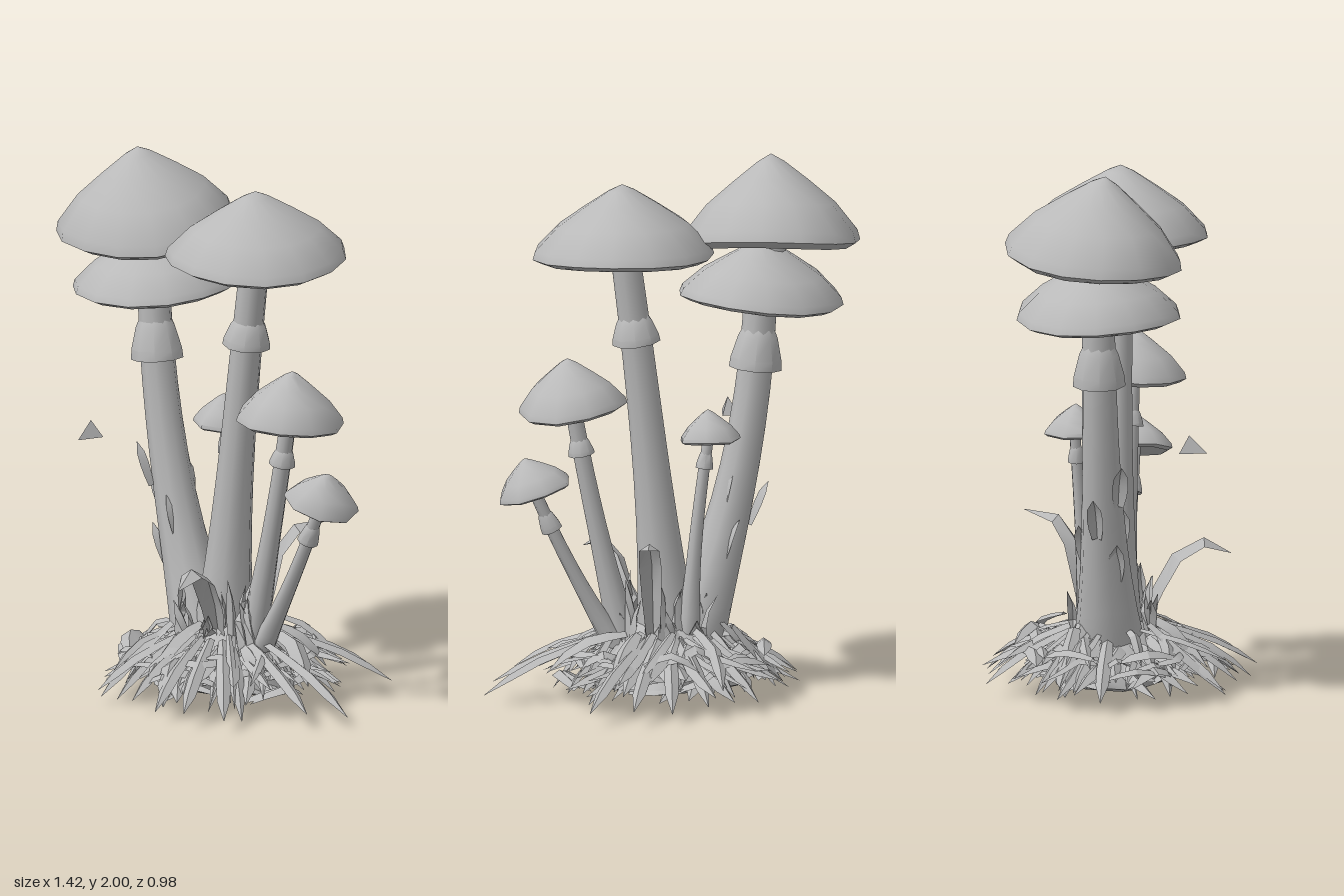
import * as THREE from 'three';
import { mergeVertices, mergeGeometries, toCreasedNormals } from 'three/addons/utils/BufferGeometryUtils.js';

const grey = new THREE.MeshStandardMaterial({ color: 0xb9b9b9, side: THREE.DoubleSide });
grey.name = 'stone grey';

// Seeded random numbers
let seed = 11;
const rnd = (a, b) => {
  seed = (seed * 16807) % 2147483647;
  return a + (b - a) * (seed / 2147483647);
};

const V = (x, y, z) => new THREE.Vector3(x, y, z);
const polar = (a, r, y, stretch) => V(Math.cos(a) * r * stretch, y, Math.sin(a) * r);

// Welds a geometry and gives it smooth normals with sharp creases
function smooth(geo, crease) {
  geo.deleteAttribute('uv');
  geo.deleteAttribute('normal');
  return toCreasedNormals(mergeVertices(geo, 1e-4), crease);
}

function lathe(profile, radius, height, sides) {
  return new THREE.LatheGeometry(profile.map(([r, y]) => new THREE.Vector2(r * radius, y * height)), sides);
}

function add(group, geo, name) {
  const mesh = new THREE.Mesh(geo, grey);
  mesh.name = name;
  group.add(mesh);
  return mesh;
}

// Bent stem that thickens and flares towards its foot
const stemRadius = (r, t) => r * (1 + 0.3 * t + 0.9 * t ** 4);
function stemGeometry(curve, radius) {
  const geo = new THREE.CylinderGeometry(1, 1, 1, 10, 10, true);
  const p = geo.attributes.position;
  for (let i = 0; i < p.count; i++) {
    const t = THREE.MathUtils.clamp(0.5 - p.getY(i), 0, 1);
    const c = curve.getPoint(t), r = stemRadius(radius, t);
    p.setXYZ(i, c.x + p.getX(i) * r, c.y, c.z + p.getZ(i) * r);
  }
  return smooth(geo, 1.2);
}

// Pointed cap with a rolled, wavy rim and a hollow underside
const capProfile = [[0.1, 0.13], [0.6, 0.07], [0.88, 0], [1, 0.07], [0.97, 0.18],
  [0.72, 0.48], [0.42, 0.72], [0.15, 0.92], [0, 1]];
function capGeometry(radius, height, sides) {
  const geo = lathe(capProfile, radius, height, sides);
  const p = geo.attributes.position;
  for (let i = 0; i < p.count; i++) {
    const x = p.getX(i), z = p.getZ(i), a = Math.atan2(z, x), out = Math.hypot(x, z) / radius;
    const w = 1 + 0.02 * Math.sin(3 * a + height * 20) * out;
    p.setXYZ(i, x * w, p.getY(i) + 0.04 * height * Math.sin(2 * a + radius * 30) * out, z * w);
  }
  return smooth(geo, 0.9);
}

// Flared skirt around a stem
const ringProfile = [[0.6, 0.5], [0.75, 0.3], [0.97, -0.25], [1, -0.5], [0.6, -0.38]];

// cap: [x, y, z] of the rim; foot: x, y; bend: sideways bow of the stem
function mushroom({ name, cap, radius, height, sides, tilt, foot, bend, stem, ring, ringHeight }) {
  const g = new THREE.Group();
  g.name = name;
  const [x, y, z] = cap;
  const capMesh = add(g, capGeometry(radius, height, sides), 'cap');
  capMesh.position.set(x, y, z);
  capMesh.rotation.set(tilt[0], 0, tilt[1]);

  const top = V(x - Math.sin(tilt[1]) * 0.05, y + 0.25 * height, z), base = V(foot[0], foot[1], z * 0.7);
  const middle = top.clone().lerp(base, 0.5);
  middle.x += bend;
  const curve = new THREE.QuadraticBezierCurve3(top, middle, base);
  add(g, stemGeometry(curve, stem), 'stem');

  if (ring) {
    const t = (top.y - ring) / (top.y - base.y);
    const ringMesh = add(g, smooth(lathe(ringProfile, stemRadius(stem, t) * 1.55, ringHeight, 9), 0.7), 'ring');
    ringMesh.position.copy(curve.getPoint(t));
    const d = curve.getTangent(t);
    ringMesh.rotation.z = Math.atan2(d.x, -d.y);
  }
  return g;
}

// Tapered folded blade along a few points
function bladeGeometry(points, width) {
  const curve = new THREE.CatmullRomCurve3(points);
  const pos = [], idx = [], n = 4;
  for (let i = 0; i <= n; i++) {
    const t = i / n, c = curve.getPoint(t), d = curve.getTangent(t);
    const side = V(-d.z, 0, d.x + 1e-6).normalize();
    const fold = side.clone().cross(d);
    const w = width * (i === n ? 0.02 : 0.35 + 0.25 * Math.sin(t * Math.PI));
    for (const k of [-1, 0, 1]) {
      const v = c.clone().addScaledVector(side, k * w).addScaledVector(fold, k === 0 ? 0.7 * w : 0);
      pos.push(v.x, v.y, v.z);
    }
    if (i < n) for (const k of [0, 1]) {
      const a = i * 3 + k;
      idx.push(a, a + 1, a + 3, a + 1, a + 4, a + 3);
    }
  }
  const geo = new THREE.BufferGeometry();
  geo.setAttribute('position', new THREE.Float32BufferAttribute(pos, 3));
  geo.setIndex(idx);
  return toCreasedNormals(geo, 0.5);
}

// Makes and joins a number of blades
const blades = (count, make) => mergeGeometries(Array.from({ length: count }, (_, i) => make(i)));

export function createModel() {
  seed = 11;
  const model = new THREE.Group();
  model.name = 'mushroomCluster';

  model.add(mushroom({ name: 'tallMushroom', cap: [-0.4, 1.665, -0.01], radius: 0.33, height: 0.335, sides: 14,
    tilt: [0.13, 0.03], foot: [-0.375, 1.48], bend: 0, stem: 0.05 }));
  model.add(mushroom({ name: 'thickMushroom', cap: [-0.355, 1.45, 0], radius: 0.305, height: 0.24, sides: 13,
    tilt: [0, 0.07], foot: [-0.08, 0.2], bend: -0.12, stem: 0.06, ring: 1.28, ringHeight: 0.15 }));
  model.add(mushroom({ name: 'centreMushroom', cap: [0.175, 1.65, -0.005], radius: 0.335, height: 0.28, sides: 14,
    tilt: [0.03, -0.01], foot: [0, 0.2], bend: -0.02, stem: 0.054, ring: 1.385, ringHeight: 0.1 }));
  model.add(mushroom({ name: 'middleMushroom', cap: [0.365, 1.085, 0.015], radius: 0.2, height: 0.205, sides: 10,
    tilt: [0, -0.1], foot: [0.16, 0.2], bend: 0.02, stem: 0.03, ring: 0.955, ringHeight: 0.06 }));
  model.add(mushroom({ name: 'shortMushroom', cap: [0.515, 0.8, 0], radius: 0.14, height: 0.135, sides: 8,
    tilt: [0, -0.32], foot: [0.2, 0.2], bend: 0.03, stem: 0.024, ring: 0.685, ringHeight: 0.07 }));
  model.add(mushroom({ name: 'backMushroom', cap: [-0.118, 0.97, -0.125], radius: 0.115, height: 0.12, sides: 7,
    tilt: [0.05, -0.04], foot: [-0.05, 0.25], bend: 0.02, stem: 0.02, ring: 0.9, ringHeight: 0.06 }));

  // Lumpy mound the stems grow from
  const mound = lathe([[0, 0.05], [0.2, 0.04], [0.26, 0.06], [0.27, 0.11], [0.22, 0.18], [0.16, 0.24], [0.07, 0.3], [0, 0.31]], 1, 1, 16);
  const p = mound.attributes.position;
  for (let i = 0; i < p.count; i++) {
    const x = p.getX(i), z = p.getZ(i), a = Math.atan2(z, x);
    const w = 1 + 0.08 * Math.sin(5 * a + p.getY(i) * 15);
    p.setXYZ(i, x * w * 1.12, p.getY(i), z * w * 0.88);
  }
  add(model, smooth(mound, 0.9), 'mound');

  // Roots and dry blades spreading down around the mound
  add(model, blades(105, i => {
    const a = i * 2.4 + rnd(-0.2, 0.2), end = a + rnd(-0.5, 0.5);
    const r0 = rnd(0.1, 0.22), r1 = rnd(0.3, 0.48), y0 = rnd(0.12, 0.28), y1 = rnd(0.03, 0.15);
    return bladeGeometry([polar(a, r0, y0, 1.1),
      polar((a + end) / 2, (r0 + r1) / 2, (y0 + y1) / 2 + rnd(-0.03, 0.05), 1.05),
      polar(end, r1, y1, 1.05)], rnd(0.025, 0.065));
  }), 'roots');

  // Short broken pieces lying crosswise among the roots
  add(model, blades(60, i => {
    const a = i * 2.4 + rnd(-0.3, 0.3), turn = rnd(0.3, 0.7) * (i % 2 ? 1 : -1);
    const r = rnd(0.24, 0.34), y = rnd(0.05, 0.18);
    return bladeGeometry([polar(a, r, y, 1.1), polar(a + turn / 2, r + rnd(-0.02, 0.04), y + rnd(0, 0.04), 1.1),
      polar(a + turn, r + rnd(-0.05, 0.05), y + rnd(-0.03, 0.03), 1.1)], rnd(0.03, 0.06));
  }), 'crossRoots');

  // Longest roots, given by their tips
  const tips = [V(0.7, 0.04, 0.04), V(0.62, 0.06, 0.17), V(-0.51, 0.05, 0.03), V(0.36, 0, 0.25)];
  for (const s of [-1, 1]) tips.push(V(0.45, 0.05, 0.43 * s), V(-0.2, 0.05, 0.44 * s),
    V(0, 0.05, 0.46 * s), V(0.15, 0.04, 0.49 * s), V(0.3, 0.06, 0.49 * s));
  add(model, blades(tips.length, i => {
    const { x, y, z } = tips[i];
    return bladeGeometry([V(x * 0.3, 0.24, z * 0.3), V(x * 0.7, 0.15, z * 0.7), V(x, y, z)], 0.045);
  }), 'longRoots');

  // Upright blades hugging the stem feet
  add(model, blades(34, i => {
    const a = i * 2.4, r = rnd(0.08, 0.17), top = rnd(0.28, 0.48);
    return bladeGeometry([polar(a, r * 1.1, 0.16, 1.35), polar(a, r * 0.95, top * 0.7, 1.35),
      polar(a + rnd(-0.2, 0.2), r * rnd(0.8, 1.25), top, 1.3)], rnd(0.03, 0.06));
  }), 'tufts');

  // Long curled leaves at front and back
  add(model, bladeGeometry([V(0.08, 0.22, 0.1), V(0.12, 0.4, 0.18), V(0.15, 0.52, 0.28), V(0.19, 0.49, 0.41)], 0.08), 'frontLeaf');
  add(model, bladeGeometry([V(0.1, 0.25, -0.12), V(0.12, 0.45, -0.16), V(0.14, 0.58, -0.2), V(0.2, 0.63, -0.36)], 0.07), 'backLeaf');

  // Bark peeling off the thick stem
  add(model, blades(7, i => {
    const y = 0.46 + i * 0.06, x = -0.19 - i * 0.02, a = i * 2.4;
    return bladeGeometry([0, 1, 2].map(k =>
      polar(a, 0.07 + 0.01 * k, y + 0.08 * (k - 1), 1).add(V(x - 0.025 * (k - 1), 0, 0))), 0.05);
  }), 'peelingBark');

  // Loose flake in front of the thick stem
  const flake = new THREE.ConeGeometry(0.06, 0.065, 3);
  flake.scale(0.6, 1, 1.1);
  add(model, toCreasedNormals(flake, 0.3), 'looseFlake').position.set(-0.345, 0.995, 0.335);
  return model;
}
